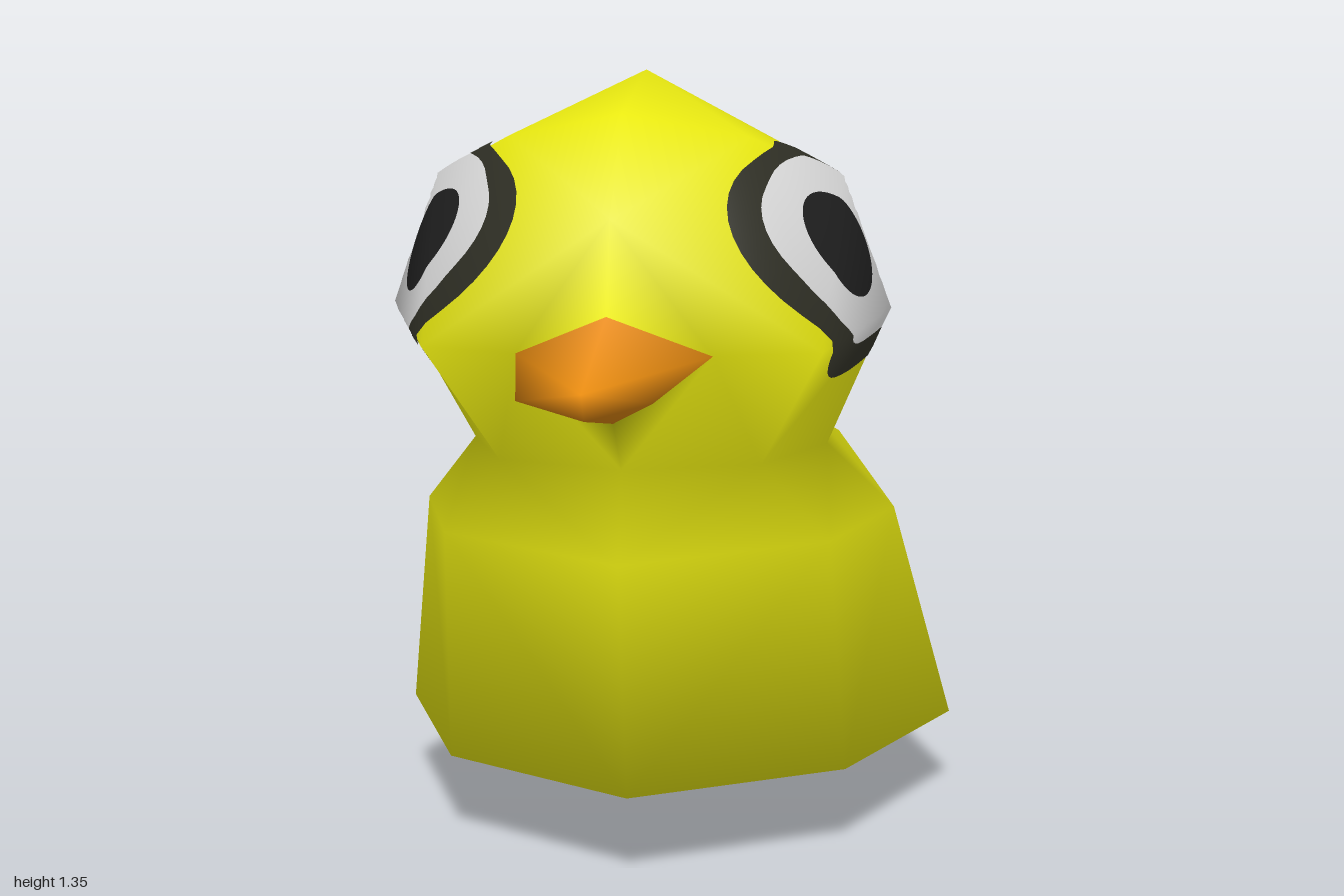
import * as THREE from 'three';

// Half cross-sections from crown to belly, each running front to back on the +x side.
const rings = [
  [[0, 1.29, 0.58], [0.2, 1.25, 0.5], [0.34, 1.18, 0.38], [0.25, 1.195, 0.04], [0, 1.22, -0.05]],
  [[0, 1.13, 0.71], [0.33, 0.91, 0.6], [0.42, 0.96, 0.37], [0.37, 0.99, 0.03], [0, 1.01, -0.14]],
  [[0, 0.71, 0.59], [0.22, 0.71, 0.5], [0.31, 0.71, 0.25], [0.28, 0.72, 0.04], [0, 0.73, -0.12]],
  [[0, 0.56, 0.64], [0.33, 0.57, 0.43], [0.42, 0.58, 0.13], [0.25, 0.575, -0.81], [0, 0.575, -1]],
  [[0, 0.143, 0.54], [0.35, 0.143, 0.3], [0.512, 0.143, -0.15], [0.33, 0.143, -0.62], [0, 0.143, -0.8]],
];
const crown = [0, 1.353, 0.29], belly = [0, 0, -0.14];

// Beak: root top, side and bottom, then tip top, side and bottom.
const beakPoints = [[0, 0.98, 0.75], [0.16, 0.91, 0.67], [0, 0.8, 0.68],
  [0, 0.89, 1], [0.105, 0.875, 0.97], [0, 0.845, 0.97]];

// Eye outlines seen from the side: centre z, centre y, radius z, radius y.
const outer = [0.43, 1.043, 0.178, 0.193];
const white = [0.43, 1.06, 0.138, 0.153];
const pupil = [0.445, 1.07, 0.064, 0.085];
const centre = [0.445, 1.07, 0, 0];

export function createModel() {
  const group = new THREE.Group();
  const material = (name, color) => {
    const m = new THREE.MeshStandardMaterial({ color });
    m.name = name;
    return m;
  };
  const yellow = material('yellow', 0xe8e810);
  const orange = material('orange', 0xe68a10);
  const rimDark = material('eyeRimDark', 0x2e2e24);
  const eyeWhite = material('eyeWhite', 0xd8d8d8);
  const pupilBlack = material('pupilBlack', 0x1e1e1e);

  // Shared vertices, mirrored across x, so shading flows between parts.
  const verts = [], mirror = [];
  const add = ([x, y, z]) => {
    const i = verts.length / 3;
    verts.push(x, y, z);
    mirror[i] = i;
    if (x) {
      verts.push(-x, y, z);
      mirror[i] = i + 1;
    }
    return i;
  };
  const R = rings.map(r => r.map(add));
  const top = add(crown), bottom = add(belly);
  const [rootTop, rootSide, rootLow, tipTop, tipSide, tipLow] = beakPoints.map(add);

  const faces = { head: [], body: [], beak: [] };
  const tri = (part, a, b, c) => faces[part].push(a, b, c, mirror[a], mirror[c], mirror[b]);
  const quad = (part, a, b, c, d) => { tri(part, a, b, d); tri(part, b, c, d); };

  // Head and body skins
  for (let j = 0; j < 4; j++) {
    tri('head', top, R[0][j], R[0][j + 1]);
    for (let r = 0; r < 4; r++) {
      if (r === 1 && j === 0) continue; // left open for the beak
      quad(r < 2 ? 'head' : 'body', R[r][j], R[r + 1][j], R[r + 1][j + 1], R[r][j + 1]);
    }
    tri('body', R[4][j], bottom, R[4][j + 1]);
  }

  // Face around the beak root
  tri('head', R[1][0], rootTop, rootSide);
  tri('head', R[1][0], rootSide, R[1][1]);
  tri('head', rootSide, R[2][1], R[1][1]);
  tri('head', rootSide, R[2][0], R[2][1]);
  tri('head', rootSide, rootLow, R[2][0]);

  // Beak
  quad('beak', rootTop, tipTop, tipSide, rootSide);
  quad('beak', rootSide, tipSide, tipLow, rootLow);
  tri('beak', tipTop, tipLow, tipSide);

  // Smooth normals over the whole skin, then one mesh for each part
  const skin = new THREE.BufferGeometry();
  skin.setAttribute('position', new THREE.Float32BufferAttribute(verts, 3));
  skin.setIndex([...faces.head, ...faces.body, ...faces.beak]);
  skin.computeVertexNormals();
  const meshes = {};
  for (const part in faces) {
    const g = skin.clone();
    g.setIndex(faces[part]);
    meshes[part] = new THREE.Mesh(g, part === 'beak' ? orange : yellow);
    meshes[part].name = part;
    group.add(meshes[part]);
  }

  // Eyes: thin bands laid on the side of the head
  const ray = new THREE.Raycaster();
  const inward = new THREE.Vector3(-1, 0, 0);
  const eyeBand = (from, to, side) => {
    const rows = 6, cols = 48, pos = [], nor = [], idx = [];
    for (let i = 0; i <= rows; i++) {
      const [cz, cy, rz, ry] = from.map((v, k) => THREE.MathUtils.lerp(v, to[k], i / rows));
      for (let j = 0; j <= cols; j++) {
        const t = (j / cols) * Math.PI * 2;
        ray.set(new THREE.Vector3(2, cy + ry * Math.sin(t), cz - rz * Math.cos(t)), inward);
        const hit = ray.intersectObject(meshes.head)[0];
        const n = hit.normal.clone().normalize();
        const p = hit.point.clone().addScaledVector(n, 0.006);
        pos.push(p.x * side, p.y, p.z);
        nor.push(n.x * side, n.y, n.z);
        if (i < rows && j < cols) {
          const a = i * (cols + 1) + j, b = a + cols + 1;
          if (side > 0) idx.push(a, b, a + 1, b, b + 1, a + 1);
          else idx.push(a, a + 1, b, b, a + 1, b + 1);
        }
      }
    }
    const g = new THREE.BufferGeometry();
    g.setAttribute('position', new THREE.Float32BufferAttribute(pos, 3));
    g.setAttribute('normal', new THREE.Float32BufferAttribute(nor, 3));
    g.setIndex(idx);
    return g;
  };
  for (const side of [1, -1]) {
    const eye = new THREE.Group();
    eye.name = side > 0 ? 'leftEye' : 'rightEye';
    for (const [name, from, to, mat] of [
      ['eyeRim', white, outer, rimDark],
      ['eyeball', pupil, white, eyeWhite],
      ['pupil', centre, pupil, pupilBlack],
    ]) {
      const mesh = new THREE.Mesh(eyeBand(from, to, side), mat);
      mesh.name = name;
      eye.add(mesh);
    }
    group.add(eye);
  }
  return group;
}
